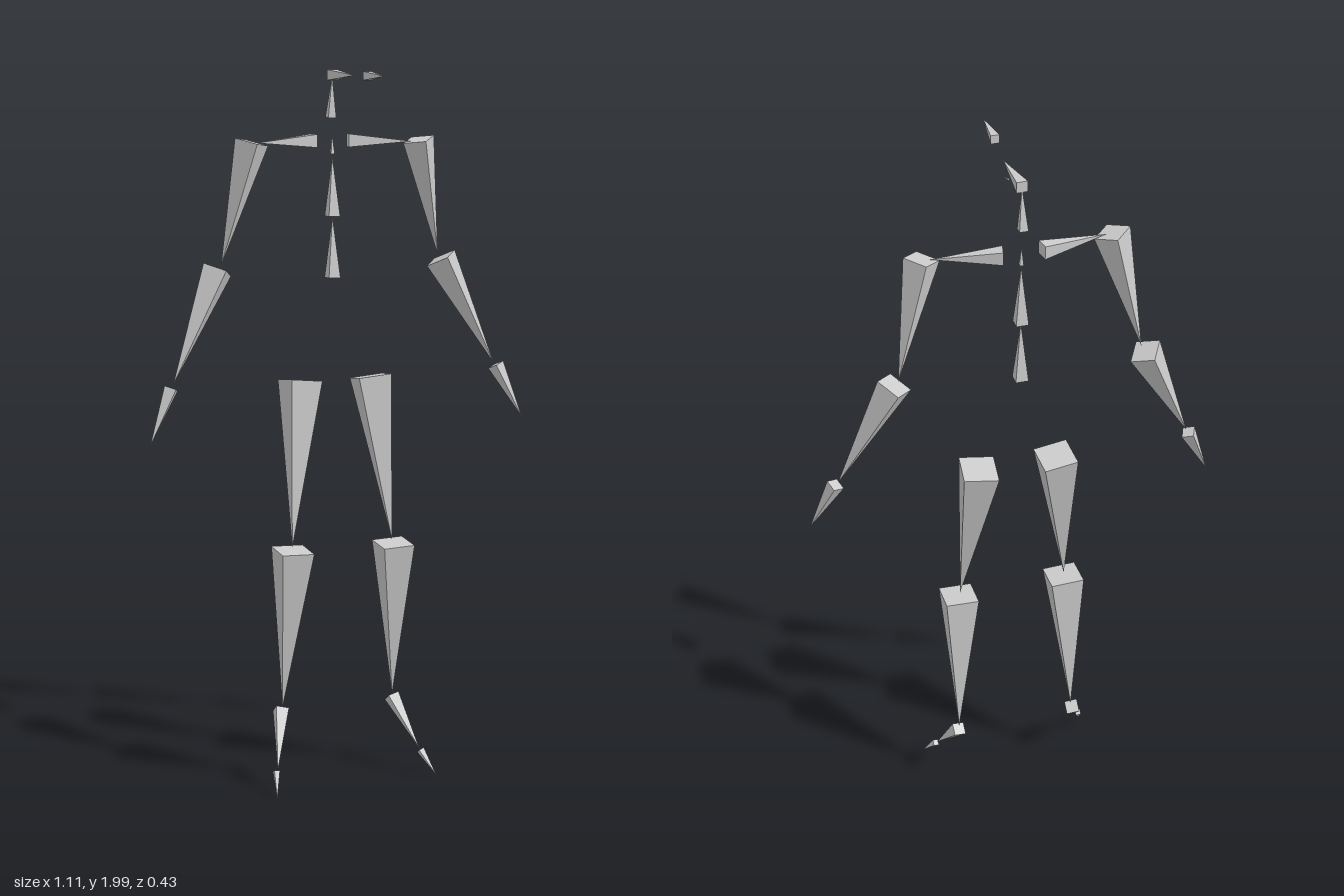
import * as THREE from 'three';

export function createModel() {
  const model = new THREE.Group();
  model.name = 'skeletonRig';
  const boneGrey = new THREE.MeshStandardMaterial({ color: 0xcccccc });
  boneGrey.name = 'boneGrey';

  // Unit bone: square pyramid, base at the origin, tip at y = 1, flat normals
  const unitBone = new THREE.ConeGeometry(Math.SQRT1_2, 1, 4, 1, false, Math.PI / 4)
    .translate(0, 0.5, 0).toNonIndexed();
  unitBone.computeVertexNormals();

  // Places a bone from base to tip; 'side' is the direction of one base edge
  function bone(name, base, tip, side = [1, 0, 0]) {
    const start = new THREE.Vector3(...base);
    const axis = new THREE.Vector3(...tip).sub(start);
    const length = axis.length();
    axis.normalize();
    const u = new THREE.Vector3(...side);
    u.addScaledVector(axis, -u.dot(axis)).normalize();
    const v = new THREE.Vector3().crossVectors(u, axis);
    const width = length * 0.2;
    const geometry = unitBone.clone().scale(width, length, width);
    geometry.applyMatrix4(new THREE.Matrix4().makeBasis(u, axis, v).setPosition(start));
    const mesh = new THREE.Mesh(geometry, boneGrey);
    mesh.name = name;
    model.add(mesh);
  }

  // Spine, neck and head
  bone('lowerSpine', [-0.005, 1.43, -0.155], [-0.005, 1.6, -0.155]);
  bone('upperSpine', [-0.005, 1.6, -0.155], [-0.005, 1.765, -0.155]);
  bone('chest', [-0.005, 1.77, -0.155], [-0.005, 1.825, -0.157]);
  bone('neck', [-0.008, 1.87, -0.158], [-0.008, 1.985, -0.147]);
  bone('head', [-0.008, 1.985, -0.15], [0, 1.985, -0.005]);
  bone('headTarget', [-0.01, 1.985, 0.103], [-0.01, 1.985, 0.22]);
  bone('jaw', [0.013, 1.985, -0.105], [0.025, 1.985, -0.085]);

  // Right arm
  bone('rightCollar', [-0.057, 1.807, -0.16], [-0.235, 1.805, -0.126], [0, 1, 0]);
  bone('rightUpperArm', [-0.25, 1.808, -0.127], [-0.33, 1.475, -0.158], [1, 0, 1]);
  bone('rightForearm', [-0.338, 1.463, -0.167], [-0.48, 1.16, -0.13], [0.77, -0.29, 0.56]);
  bone('rightHand', [-0.487, 1.15, -0.128], [-0.555, 1.0, -0.106], [0.8, -0.3, 0.45]);

  // Left arm
  bone('leftCollar', [0.043, 1.807, -0.16], [0.22, 1.803, -0.124], [0, 1, 0]);
  bone('leftUpperArm', [0.241, 1.808, -0.124], [0.317, 1.482, -0.158], [1, 0, -1]);
  bone('leftForearm', [0.328, 1.472, -0.16], [0.48, 1.168, -0.123], [-0.65, -0.2, 0.7]);
  bone('leftHand', [0.486, 1.163, -0.122], [0.555, 1.012, -0.088], [-0.8, -0.3, 0.45]);

  // Right leg
  bone('rightThigh', [-0.11, 1.15, -0.136], [-0.158, 0.69, -0.077], [1, 0, -0.07]);
  bone('rightShin', [-0.157, 0.683, -0.076], [-0.176, 0.22, -0.115]);
  bone('rightFoot', [-0.178, 0.213, -0.122], [-0.23, 0.075, -0.01]);
  bone('rightToe', [-0.235, 0.073, -0.008], [-0.249, 0.01, 0.036]);

  // Left leg
  bone('leftThigh', [0.103, 1.15, -0.139], [0.144, 0.685, -0.077], [1, 0, 0.1]);
  bone('leftShin', [0.148, 0.678, -0.078], [0.163, 0.22, -0.118]);
  bone('leftFoot', [0.165, 0.213, -0.125], [0.208, 0.08, -0.025]);
  bone('leftToe', [0.211, 0.075, -0.022], [0.24, 0.01, 0.025]);

  return model;
}
